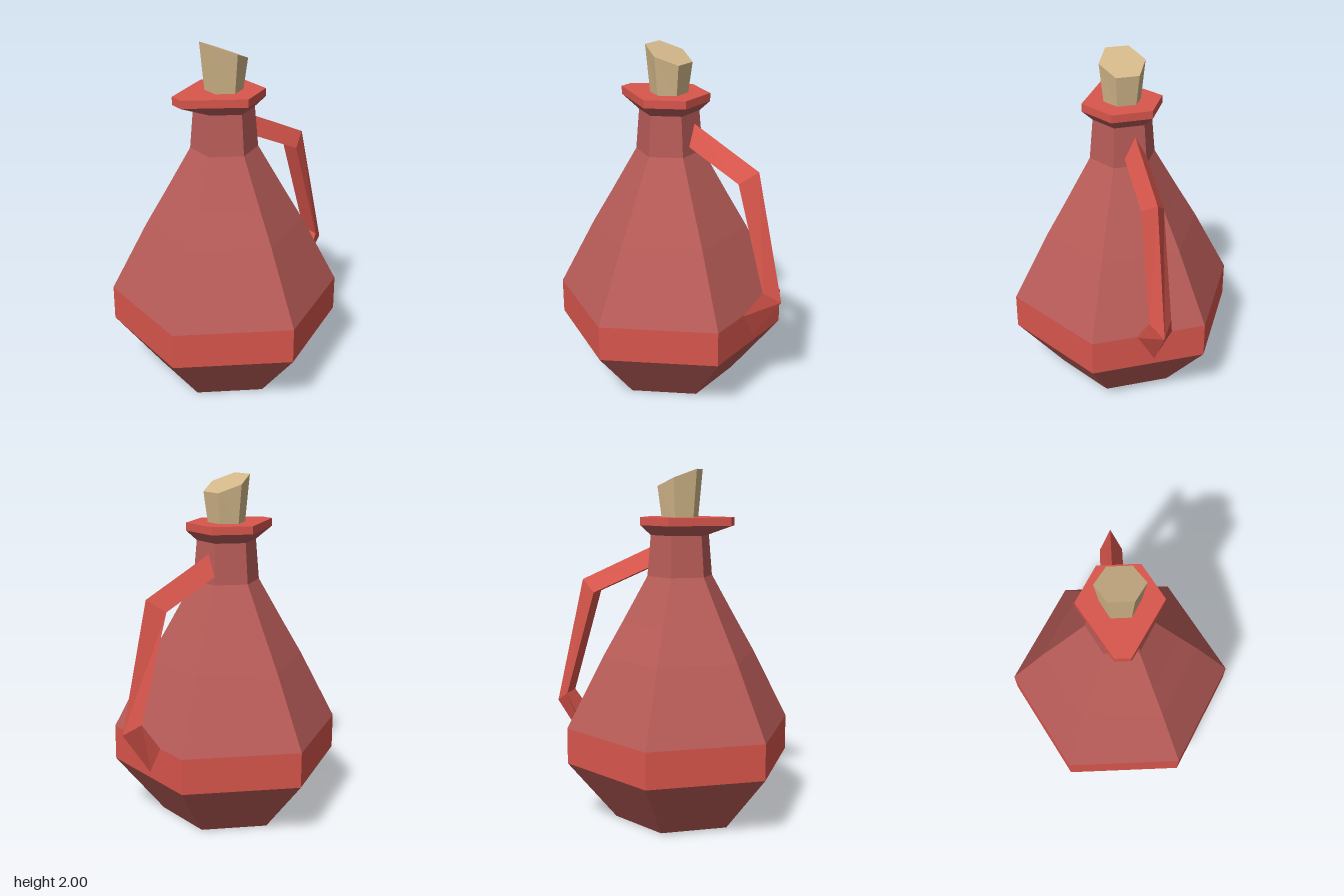
import * as THREE from 'three';

const SIDES = 6;
const AXIS_X = -0.09; // the flask sits left of centre to leave room for the handle

const flat = (name, color) => {
  const m = new THREE.MeshStandardMaterial({ color, flatShading: true });
  m.name = name;
  return m;
};

// Six-sided turned part from [radius, height] pairs, listed bottom to top
function turned(name, profile, material) {
  const points = profile.map(([r, y]) => new THREE.Vector2(r, y));
  const mesh = new THREE.Mesh(new THREE.LatheGeometry(points, SIDES), material);
  mesh.name = name;
  mesh.position.x = AXIS_X;
  return mesh;
}

// Move every vertex by a rule
function reshape(mesh, rule) {
  const pos = mesh.geometry.attributes.position;
  const v = new THREE.Vector3();
  for (let i = 0; i < pos.count; i++) {
    rule(v.fromBufferAttribute(pos, i));
    pos.setXYZ(i, v.x, v.y, v.z);
  }
  mesh.geometry.computeVertexNormals();
  return mesh;
}

// Pull the left corners of the lip out into a pouring spout
function spout(v) {
  if (v.x < -0.17 && Math.hypot(v.x, v.z) > 0.2) {
    v.x = -0.305;
    v.z = Math.sign(v.z) * 0.043;
  }
}

// Three-sided handle bar, joined from triangular cross-sections
function handleGeometry() {
  const zc = -0.032;
  // outer ridge x, y; inner edge x, y; half width
  const sections = [
    [0.02, 1.59, 0.02, 1.475, 0.063],
    [0.49, 1.37, 0.4, 1.3, 0.063],
    [0.66, 0.635, 0.575, 0.695, 0.063],
    [0.475, 0.362, 0.475, 0.535, 0.103],
  ].map(([ox, oy, ix, iy, w]) => [[ox, oy, zc], [ix, iy, zc + w], [ix, iy, zc - w]]);
  const out = [];
  for (let s = 0; s < sections.length - 1; s++) {
    const a = sections[s], b = sections[s + 1];
    for (let i = 0; i < 3; i++) {
      const j = (i + 1) % 3;
      out.push(...a[i], ...a[j], ...b[j], ...a[i], ...b[j], ...b[i]);
    }
  }
  const geo = new THREE.BufferGeometry();
  geo.setAttribute('position', new THREE.Float32BufferAttribute(out, 3));
  geo.computeVertexNormals();
  return geo;
}

export function createModel() {
  const group = new THREE.Group();
  group.name = 'flask';
  const glaze = flat('muted red', 0xb85c58);
  const trim = flat('bright red', 0xd9564c);
  const wood = flat('cork tan', 0xd3b78a);

  // Body: tapering base, bright band, long shoulder and neck
  group.add(turned('base', [[0, 0], [0.38, 0], [0.66, 0.34]], glaze));
  group.add(turned('band', [[0.66, 0.34], [0.66, 0.545]], trim));
  group.add(turned('shoulderAndNeck',
    [[0.66, 0.545], [0.45, 0.95], [0.34, 1.14], [0.19, 1.405], [0.17, 1.635]], glaze));

  // Lip with spout
  group.add(reshape(turned('lipUnderside', [[0.17, 1.635], [0.23, 1.69]], glaze), spout));
  group.add(reshape(turned('lip', [[0.23, 1.69], [0.23, 1.735], [0, 1.735]], trim), spout));

  // Cork with a slanted top
  const cork = turned('cork', [[0.105, 1.72], [0.131, 1.953], [0, 1.953]], wood);
  group.add(reshape(cork, (v) => { if (v.y > 1.9) v.y -= 0.41 * v.x; }));

  // Handle
  const handle = new THREE.Mesh(handleGeometry(), trim);
  handle.name = 'handle';
  group.add(handle);

  return group;
}
